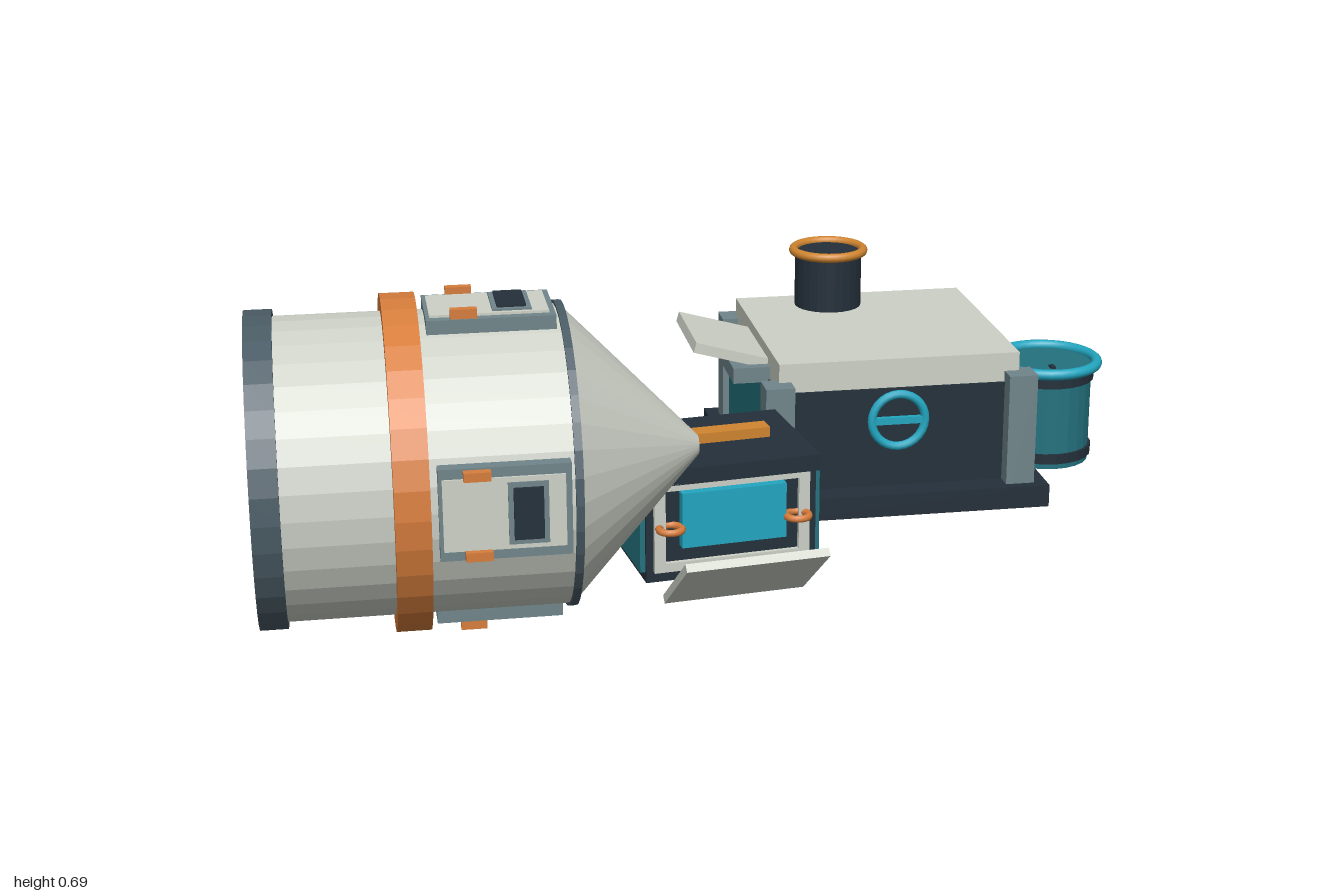
import * as THREE from 'three';

const paint = (name, color) => {
  const m = new THREE.MeshStandardMaterial({ color });
  m.name = name;
  return m;
};

export function createModel() {
  const light = paint('pale grey', 0xcdd1c7);
  const slate = paint('slate', 0x70858a);
  const steel = paint('dark steel', 0x4a5b65);
  const navy = paint('dark navy', 0x24303a);
  const teal = paint('teal', 0x24727f);
  const cyan = paint('cyan', 0x22a6c0);
  const copper = paint('copper', 0xd67d3c);
  const amber = paint('amber', 0xd08530);
  const gold = paint('gold', 0xd2a445);

  const model = new THREE.Group();
  model.name = 'outpost';

  const group = (name, parent = model) => {
    const g = new THREE.Group();
    g.name = name;
    parent.add(g);
    return g;
  };
  const add = (parent, name, geo, mat, x = 0, y = 0, z = 0) => {
    const m = new THREE.Mesh(geo, mat);
    m.name = name;
    m.position.set(x, y, z);
    parent.add(m);
    return m;
  };
  // Box given by its min and max on each axis
  const box = (parent, name, mat, x0, x1, y0, y1, z0, z1) =>
    add(parent, name, new THREE.BoxGeometry(x1 - x0, y1 - y0, z1 - z0), mat,
      (x0 + x1) / 2, (y0 + y1) / 2, (z0 + z1) / 2);
  // Faceted cylinder, upright
  const drum = (rTop, rBottom, h, sides) => {
    const g = new THREE.CylinderGeometry(rTop, rBottom, h, sides).toNonIndexed();
    g.computeVertexNormals();
    return g;
  };

  // Capsule lying along x
  const capsule = group('capsule');
  capsule.position.set(0, 0.35, 0.37);
  const section = (name, mat, x0, x1, r0, r1 = r0) =>
    add(capsule, name, drum(r1, r0, x1 - x0, 36).rotateZ(-Math.PI / 2), mat, (x0 + x1) / 2);
  section('endCap', steel, -1, -0.945, 0.317);
  section('capsuleHull', light, -0.95, -0.385, 0.303);
  section('copperBand', copper, -0.735, -0.667, 0.338);
  section('noseCollar', steel, -0.392, -0.376, 0.309);
  section('noseCone', light, -0.377, -0.108, 0.298, 0.02);

  // Four hatches around the hull
  for (let i = 0; i < 4; i++) {
    const hatch = group('hatch', capsule);
    hatch.rotation.x = i * Math.PI / 2;
    box(hatch, 'hatchFrame', slate, -0.652, -0.4, -0.092, 0.092, 0.27, 0.316);
    box(hatch, 'hatchDoor', light, -0.645, -0.412, -0.072, 0.072, 0.31, 0.321);
    box(hatch, 'windowFrame', slate, -0.522, -0.445, -0.062, 0.062, 0.32, 0.325);
    box(hatch, 'hatchWindow', navy, -0.512, -0.455, -0.052, 0.052, 0.322, 0.33);
    for (const s of [-1, 1])
      box(hatch, 'hatchHinge', copper, -0.605, -0.553, s * 0.08 - 0.009, s * 0.08 + 0.009, 0.31, 0.335);
  }

  // Upright gas bottle behind the hull
  add(model, 'gasBottle', new THREE.CylinderGeometry(0.023, 0.023, 0.185, 16), gold, -0.388, 0.378, 0.07);

  // Oven, turned slightly
  const oven = group('oven');
  oven.position.set(-0.048, 0, 0.18);
  oven.rotation.y = 0.125;
  box(oven, 'ovenCore', navy, -0.185, 0.185, 0.042, 0.26, -0.14, 0.145);
  box(oven, 'ovenTop', navy, -0.192, 0.192, 0.255, 0.29, -0.152, 0.155);
  box(oven, 'ovenBack', light, -0.17, 0.17, 0.06, 0.252, -0.15, -0.14);
  for (const s of [-1, 1]) {
    const side = box(oven, 'ovenSide', teal, -0.009, 0.009, 0.064, 0.256, -0.156, 0.138);
    side.position.x = s * 0.187;
  }
  box(oven, 'topHandle', amber, -0.125, 0.125, 0.288, 0.312, -0.025, 0.018);
  // Front frame around the screen
  box(oven, 'frameTop', light, -0.168, 0.168, 0.243, 0.258, 0.14, 0.155);
  box(oven, 'frameBottom', light, -0.168, 0.168, 0.065, 0.085, 0.14, 0.155);
  for (const s of [-1, 1]) {
    box(oven, 'framePost', light, s * 0.157 - 0.012, s * 0.157 + 0.012, 0.065, 0.256, 0.14, 0.155);
    const ring = add(oven, 'sideRing', new THREE.TorusGeometry(0.024, 0.008, 8, 20), copper, s * 0.138, 0.165, 0.166);
    ring.rotation.x = Math.PI / 2;
  }
  box(oven, 'ovenScreen', cyan, -0.113, 0.113, 0.12, 0.24, 0.14, 0.168);
  const flap = box(oven, 'ovenFlap', light, -0.152, 0.152, -0.009, 0.009, -0.108, 0.108);
  flap.position.set(0, 0.076, 0.245);
  flap.rotation.x = -0.68;

  // Hut with corner posts
  const hut = group('hut');
  box(hut, 'hutBase', navy, 0.086, 0.776, 0.002, 0.054, -0.714, -0.038);
  box(hut, 'hutWalls', navy, 0.15, 0.715, 0.05, 0.288, -0.655, -0.1);
  box(hut, 'sideWallPanel', teal, 0.132, 0.152, 0.056, 0.284, -0.62, -0.125);
  box(hut, 'hutRoof', light, 0.155, 0.713, 0.285, 0.356, -0.65, -0.105);
  for (const x of [0.15, 0.712]) for (const z of [-0.653, -0.093])
    box(hut, 'cornerPost', slate, x - 0.033, x + 0.033, 0, 0.313, z - 0.033, z + 0.033);

  // Side awning
  box(hut, 'awningBracket', slate, 0.07, 0.158, 0.282, 0.318, -0.527, -0.21);
  const awning = box(hut, 'awning', light, -0.09, 0.09, -0.012, 0.012, -0.128, 0.128);
  awning.position.set(0.072, 0.341, -0.363);
  awning.rotation.z = -0.27;

  // Chimney
  add(hut, 'chimney', drum(0.08, 0.08, 0.145, 24), navy, 0.366, 0.418, -0.568);
  const rim = add(hut, 'chimneyRim', new THREE.TorusGeometry(0.084, 0.011, 10, 32), amber, 0.366, 0.492, -0.568);
  rim.rotation.x = Math.PI / 2;

  // Valve wheel on the front wall
  const wheel = group('valveWheel', hut);
  wheel.position.set(0.43, 0.213, -0.094);
  add(wheel, 'wheelRing', new THREE.TorusGeometry(0.062, 0.01, 10, 28), cyan);
  box(wheel, 'wheelBar', cyan, -0.06, 0.06, -0.008, 0.008, -0.007, 0.007);

  // Water tank
  const tank = group('waterTank');
  tank.position.set(0.864, 0, -0.377);
  add(tank, 'tankBody', drum(0.109, 0.109, 0.232, 24), teal, 0, 0.12, 0);
  for (const y of [0.03, 0.219])
    add(tank, 'tankBand', drum(0.115, 0.115, 0.024, 24), navy, 0, y, 0);
  add(tank, 'tankLid', drum(0.112, 0.112, 0.01, 24), teal, 0, 0.236, 0);
  const tankRim = add(tank, 'tankRim', new THREE.TorusGeometry(0.121, 0.013, 10, 32), cyan, 0, 0.245, 0);
  tankRim.rotation.x = Math.PI / 2;
  box(tank, 'lidSlot', navy, -0.006, 0.006, 0.24, 0.246, 0.04, 0.062);
  box(tank, 'tankBracket', teal, -0.15, -0.08, 0.065, 0.235, -0.035, 0.035);
  return model;
}
